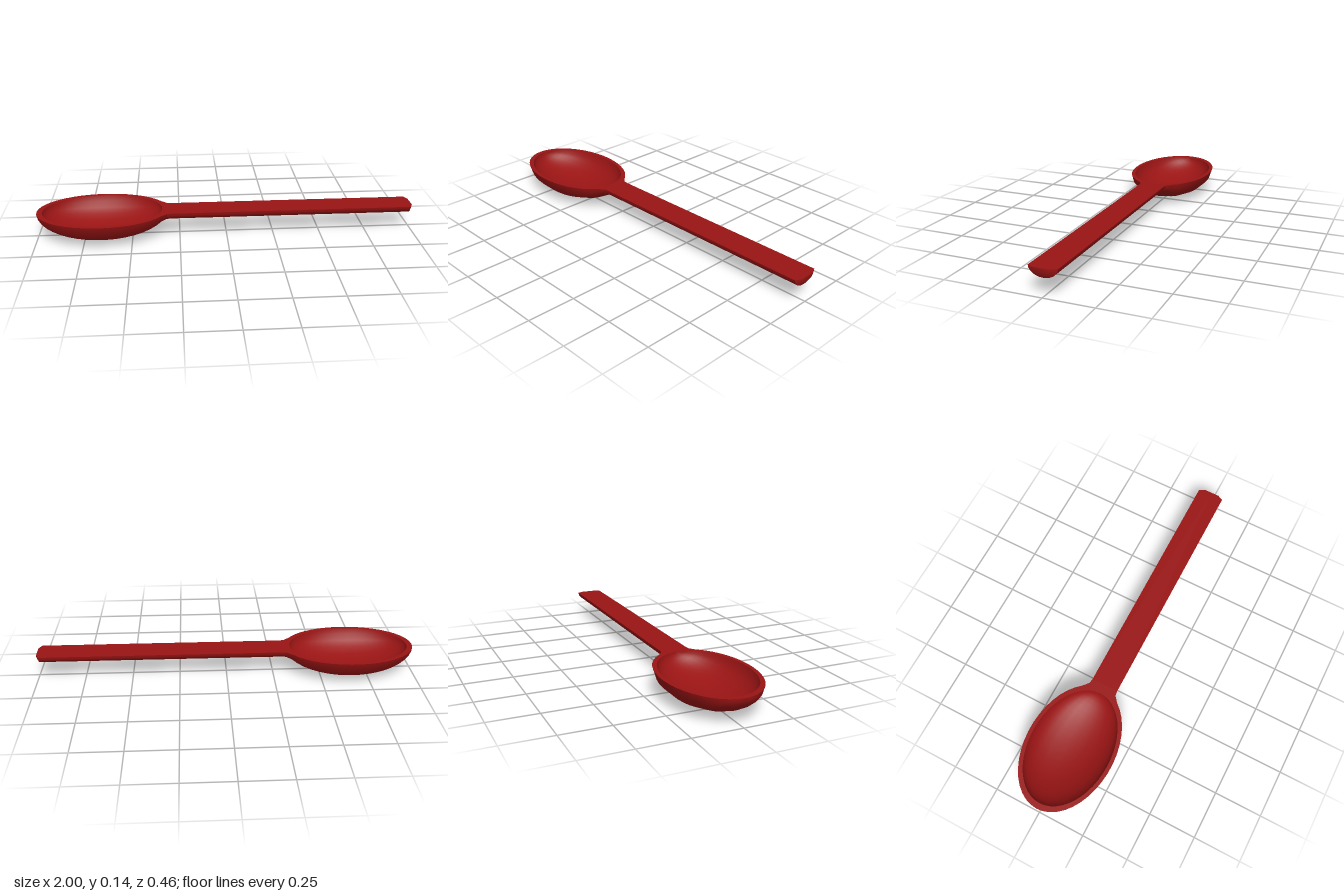
import * as THREE from 'three';

const TOP = 0.14, CX = -0.655;

// Half-round loft hanging below the flat top; each section is [x, halfWidth, depth]
function loft(sections, sides = 8) {
  const pos = [], index = [];
  sections.forEach(([x, w, d], i) => {
    for (let j = 0; j <= sides; j++) {
      const a = (j / sides) * Math.PI;
      pos.push(x, TOP - d * Math.sin(a), w * Math.cos(a));
      if (i && j) {
        const b = i * (sides + 1) + j, p = b - sides - 1;
        index.push(p - 1, p, b - 1, p, b, b - 1);
      }
    }
  });
  const g = new THREE.BufferGeometry();
  g.setAttribute('position', new THREE.Float32BufferAttribute(pos, 3));
  g.setIndex(index);
  g.computeVertexNormals();
  return g;
}

// Sections of a half ellipsoid from angle t0 to t1 along x
function ellipsoid(rx, rz, ry, t0, t1, n) {
  return Array.from({ length: n + 1 }, (_, i) => {
    const t = t0 + ((t1 - t0) * i) / n, s = Math.max(0, Math.sin(t));
    return [CX + rx * Math.cos(t), rz * s, ry * s];
  });
}

// Closed plan outline of a list of sections
function outline(sections) {
  const far = sections.filter(s => s[1] > 1e-4).reverse();
  return [
    ...sections.map(([x, w]) => new THREE.Vector2(x, w)),
    ...far.map(([x, w]) => new THREE.Vector2(x, -w)),
  ];
}

export function createModel() {
  const group = new THREE.Group();
  const material = new THREE.MeshStandardMaterial({ color: 0x9a1414, side: THREE.DoubleSide });
  const add = (name, geometry) => {
    const mesh = new THREE.Mesh(geometry, material);
    mesh.name = name;
    group.add(mesh);
  };

  // Outer bowl, ending in a neck that meets the handle
  const neck = [-0.315, 0.076, 0.051];
  const bowl = [...ellipsoid(0.345, 0.23, 0.138, Math.PI, 0.46, 18), neck];
  add('bowlOutside', loft(bowl));

  // Hollow of the bowl, lofted the other way so it faces up
  const hollow = ellipsoid(0.315, 0.21, 0.122, 0, Math.PI, 24);
  add('bowlInside', loft(hollow, 12));

  // Half-round handle with a bevelled end
  const shaft = [neck, [-0.29, 0.072, 0.05], [0.985, 0.072, 0.05]];
  const end = [[0.985, 0.072, 0.05], [1, 0.042, 0.028], [1, 0, 0]];
  add('handle', loft(shaft, 12));
  add('handleEnd', loft(end, 12));

  // Flat top: rim around the hollow and upper face of the handle
  const shape = new THREE.Shape(outline([...bowl, ...shaft.slice(1), ...end.slice(1)]));
  shape.holes.push(new THREE.Path(outline(hollow)));
  add('flatTop', new THREE.ShapeGeometry(shape).rotateX(-Math.PI / 2).translate(0, TOP, 0));

  return group;
}
